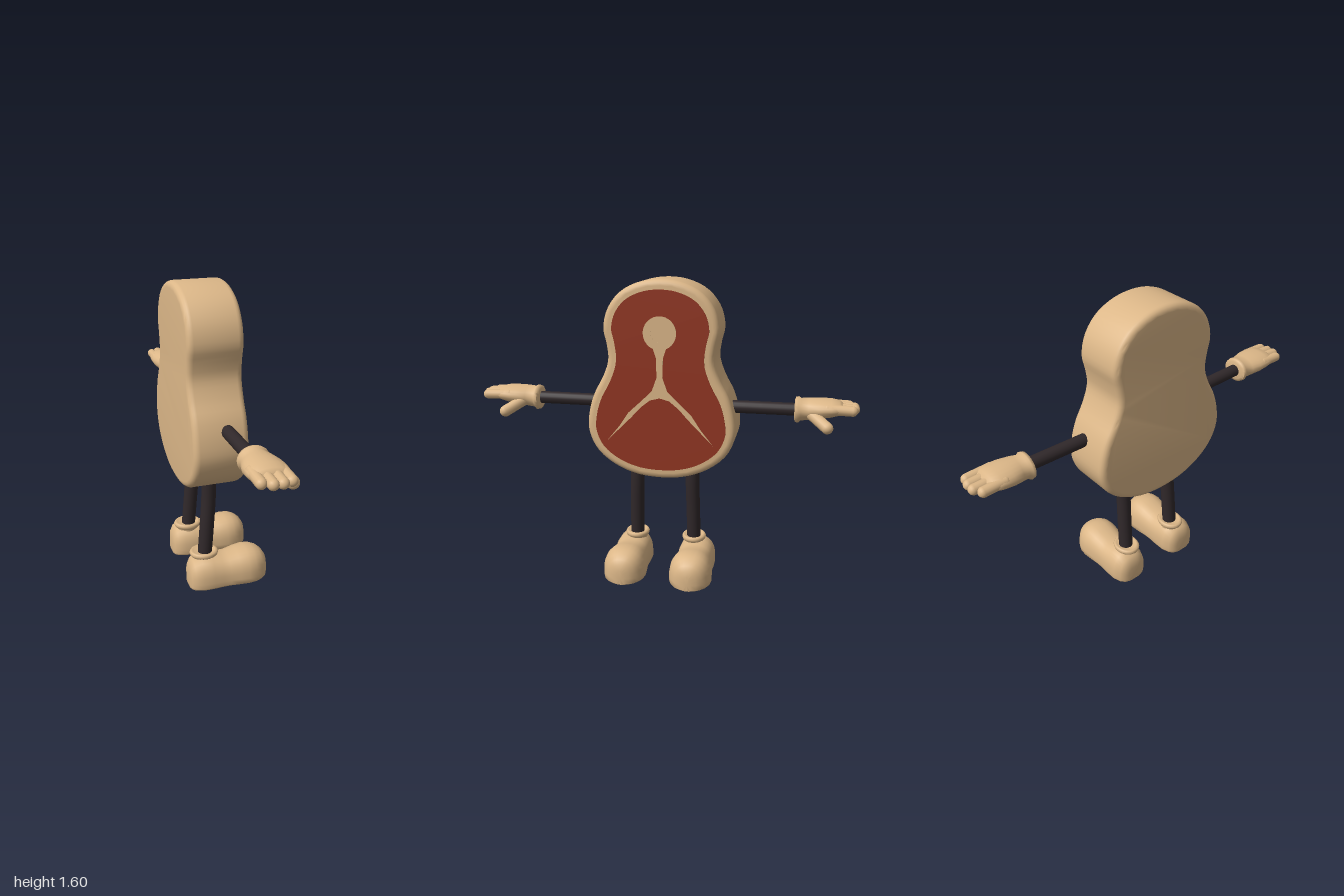
import * as THREE from 'three';
import { toCreasedNormals } from 'three/addons/utils/BufferGeometryUtils.js';

const V = (x, y, z) => new THREE.Vector3(x, y, z);

function material(name, color) {
  const m = new THREE.MeshStandardMaterial({ color });
  m.name = name;
  return m;
}

// Skin a list of closed rings, capping both ends
function loft(rings, crease = 0.9) {
  const n = rings[0].length, pos = [], idx = [];
  rings.forEach(r => r.forEach(p => pos.push(p.x, p.y, p.z)));
  for (let r = 0; r < rings.length - 1; r++)
    for (let i = 0; i < n; i++) {
      const a = r * n + i, b = r * n + (i + 1) % n;
      idx.push(a, b, b + n, a, b + n, a + n);
    }
  [0, rings.length - 1].forEach((r, end) => {
    const c = rings[r].reduce((s, p) => s.add(p), V(0, 0, 0)).divideScalar(n);
    const k = pos.length / 3;
    pos.push(c.x, c.y, c.z);
    for (let i = 0; i < n; i++) {
      const a = r * n + i, b = r * n + (i + 1) % n;
      end ? idx.push(k, a, b) : idx.push(k, b, a);
    }
  });
  const g = new THREE.BufferGeometry();
  g.setAttribute('position', new THREE.Float32BufferAttribute(pos, 3));
  g.setIndex(idx);
  return toCreasedNormals(g, crease);
}

// Extrude a (z, y) shape along x, starting at x0
function slab(shape, x0, depth, bevel = 0) {
  const g = new THREE.ExtrudeGeometry(shape, {
    depth: depth - 2 * bevel, curveSegments: 24, bevelEnabled: bevel > 0,
    bevelSize: bevel, bevelThickness: bevel, bevelOffset: -bevel, bevelSegments: 4,
  });
  g.rotateY(Math.PI / 2).translate(x0 + bevel, 0, 0);
  return toCreasedNormals(g, 0.6);
}

// Rounded finger between two points
function capsule(a, b, r) {
  const d = b.clone().sub(a);
  const g = new THREE.CapsuleGeometry(r, d.length(), 6, 14);
  g.applyQuaternion(new THREE.Quaternion().setFromUnitVectors(V(0, 1, 0), d.normalize()));
  const m = a.clone().add(b).multiplyScalar(0.5);
  return g.translate(m.x, m.y, m.z);
}

export function createModel() {
  const model = new THREE.Group();
  model.name = 'steakFigure';
  const tan = material('tan', 0xdcb788);
  const red = material('meatRed', 0x923622);
  const dark = material('darkLimb', 0x30282a);
  const add = (name, geometry, mat, parent = model) => {
    const m = new THREE.Mesh(geometry, mat);
    m.name = name;
    parent.add(m);
    return m;
  };

  // Body outline: half widths from bottom to top, mirrored
  const half = [[0.13, 0.578], [0.25, 0.625], [0.345, 0.705], [0.39, 0.81], [0.385, 0.91], [0.355, 1.01],
    [0.307, 1.1], [0.277, 1.19], [0.284, 1.27], [0.3, 1.35], [0.277, 1.45], [0.21, 1.535], [0.11, 1.585]];
  const outline = [[0, 0.565], ...half, [0, 1.6], ...half.map(([z, y]) => [-z, y]).reverse()];
  const curve = new THREE.CatmullRomCurve3(outline.map(([z, y]) => V(z, y, 0)), true);
  const inset = d => {
    const pts = [];
    for (let i = 0; i < 96; i++) {
      const p = curve.getPoint(i / 96), t = curve.getTangent(i / 96);
      pts.push(new THREE.Vector2(p.x - t.y * d, p.y + t.x * d));
    }
    return new THREE.Shape(pts);
  };
  add('fatBody', slab(inset(0), -0.23, 0.276, 0.03), tan);
  add('meatFace', slab(inset(0.05), 0.044, 0.007), red);

  // Bone: forked stem, round end and raised ring
  const fork = [[0.04, 1.275], [0.018, 1.21], [0.015, 1.11], [0.04, 1.04], [0.09, 0.99], [0.165, 0.92],
    [0.215, 0.845], [0.28, 0.765], [0.2, 0.845], [0.15, 0.895], [0.1, 0.95], [0.05, 0.99]];
  const bone = new THREE.Shape([...fork, [0, 1.003], ...fork.map(([z, y]) => [-z, y]).reverse()]
    .map(p => new THREE.Vector2(...p)));
  add('boneFork', slab(bone, 0.046, 0.008), tan);
  const disc = new THREE.Shape().absarc(0, 1.335, 0.06, 0, Math.PI * 2);
  add('boneMarrow', slab(disc, 0.046, 0.007), tan);
  const ring = new THREE.Shape().absarc(0, 1.335, 0.085, 0, Math.PI * 2);
  ring.holes.push(new THREE.Path().absarc(0, 1.335, 0.045, 0, Math.PI * 2, true));
  add('boneRing', slab(ring, 0.046, 0.0095), tan);

  for (const s of [1, -1]) {
    const side = s > 0 ? 'right' : 'left';

    // Arm
    const arm = new THREE.Group();
    arm.name = side + 'Arm';
    model.add(arm);
    const armPath = new THREE.LineCurve3(V(-0.06, 0.953, s * 0.34), V(-0.055, 0.955, s * 0.7));
    add('armTube', new THREE.TubeGeometry(armPath, 4, 0.033, 16), dark, arm);

    // Hand: cuff and palm in elliptical sections [z, x, y, rx, ry]
    const palm = [[0.68, -0.055, 0.955, 0.055, 0.05], [0.685, -0.055, 0.955, 0.073, 0.064],
      [0.7, -0.055, 0.955, 0.076, 0.067], [0.712, -0.055, 0.957, 0.066, 0.057],
      [0.75, -0.055, 0.962, 0.079, 0.056], [0.8, -0.055, 0.967, 0.092, 0.052],
      [0.86, -0.055, 0.972, 0.094, 0.046], [0.9, -0.055, 0.974, 0.088, 0.036], [0.92, -0.055, 0.974, 0.07, 0.022]];
    add('palm', loft(palm.map(([z, x, y, rx, ry]) => Array.from({ length: 24 }, (_, i) => {
      const a = s * i / 24 * Math.PI * 2;
      return V(x + rx * Math.cos(a), y + ry * Math.sin(a), s * z);
    })), 1.1), tan, arm);
    [[-0.119, 0.95], [-0.077, 0.974], [-0.034, 0.974], [0.008, 0.963]].forEach(([x, tip], i) =>
      add('finger' + (i + 1), capsule(V(x, 0.977, s * 0.84), V(x, 0.973, s * tip), 0.026), tan, arm));
    add('thumb', capsule(V(-0.005, 0.945, s * 0.765), V(0.068, 0.897, s * 0.843), 0.03), tan, arm);

    // Leg
    const leg = new THREE.Group();
    leg.name = side + 'Leg';
    model.add(leg);
    const legPath = new THREE.CatmullRomCurve3([V(-0.088, 0.63, s * 0.153), V(-0.09, 0.5, s * 0.154),
      V(-0.1, 0.36, s * 0.158), V(-0.116, 0.16, s * 0.162)]);
    add('legTube', new THREE.TubeGeometry(legPath, 12, 0.038, 16), dark, leg);

    // Shoe: flat-bottomed sections [x, half width, height]
    const shoe = [[-0.213, 0.04, 0.09], [-0.207, 0.065, 0.125], [-0.19, 0.085, 0.157], [-0.15, 0.1, 0.176],
      [-0.09, 0.102, 0.175], [-0.04, 0.1, 0.164], [0.0, 0.102, 0.165], [0.05, 0.109, 0.178], [0.1, 0.114, 0.186],
      [0.14, 0.11, 0.183], [0.175, 0.095, 0.17], [0.2, 0.074, 0.15], [0.215, 0.048, 0.125], [0.222, 0.02, 0.095]];
    const mid = 0.05;
    add('shoe', loft(shoe.map(([x, w, h]) => Array.from({ length: 32 }, (_, i) => {
      const a = i / 32 * Math.PI * 2, c = Math.cos(a), q = Math.sin(a), e = c > 0 ? 0.8 : 0.3;
      const floor = 0.004 + (x + 0.21) * 0.025;
      const y = c > 0 ? mid + (h - mid) * c ** e : mid - (mid - floor) * Math.abs(c) ** e;
      return V(x, y, s * 0.18 + w * Math.sign(q) * Math.abs(q) ** e);
    }))), tan, leg);

    // Ankle cuff
    const cuff = new THREE.LatheGeometry([[0, 0.185], [0.05, 0.188], [0.06, 0.196], [0.072, 0.194], [0.078, 0.184],
      [0.074, 0.172], [0.062, 0.16], [0.062, 0.1]].reverse().map(p => new THREE.Vector2(...p)), 24);
    cuff.scale(1, 1, 0.85).translate(-0.12, 0, s * 0.162);
    add('ankleCuff', cuff, tan, leg);
  }
  return model;
}
